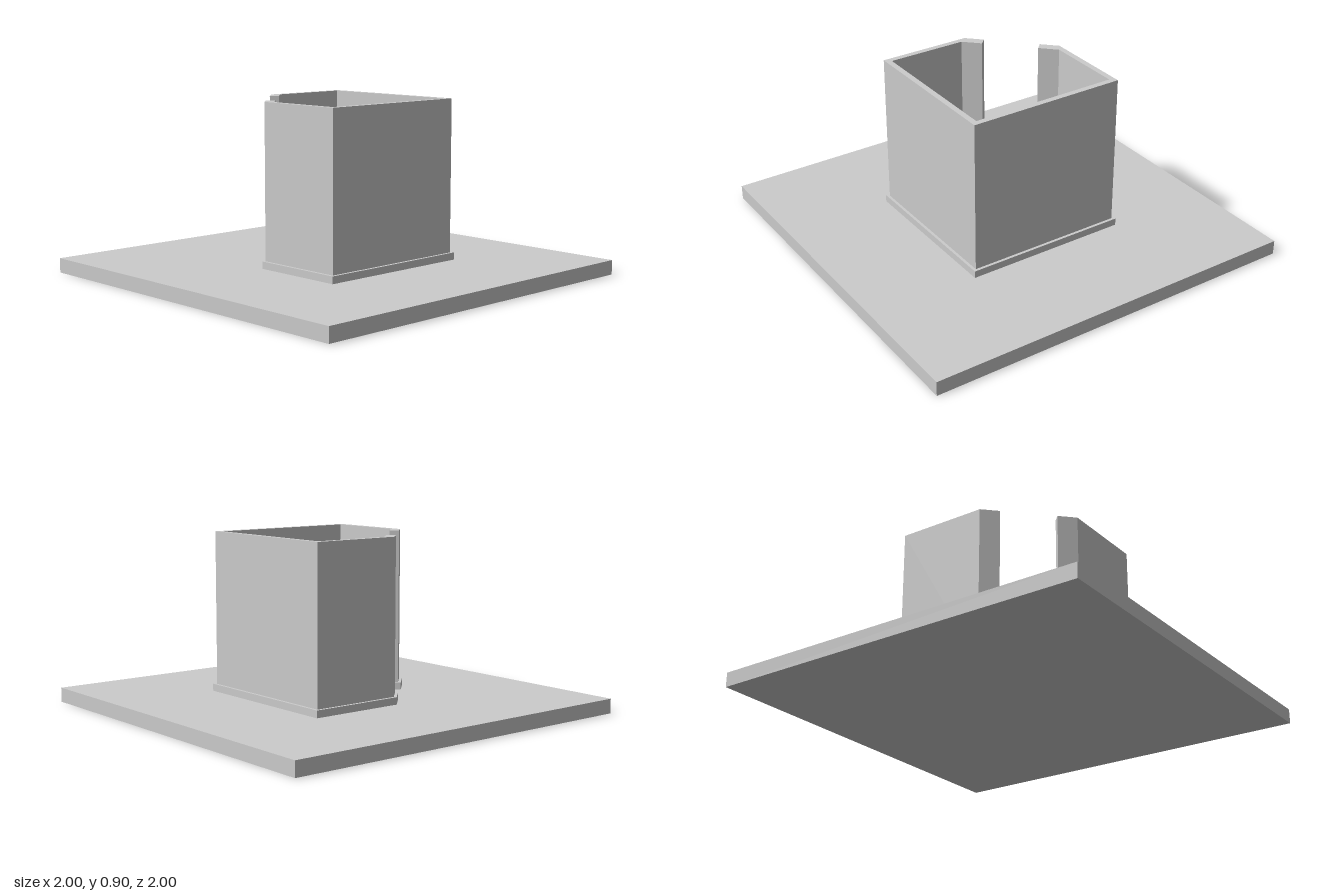
import * as THREE from 'three';

const material = new THREE.MeshStandardMaterial({ color: 0xcccccc, flatShading: true });

// Closed plan outline [x, z] of the open square post, shrunk on every side by inset
function planOutline(inset) {
  const out = 0.43 - inset;                    // outer face
  const inn = 0.37 + inset;                    // inner face
  const d = inset * Math.SQRT2;
  const lipOut = -0.50 + d;                    // x + z along the lip's outer face
  const lipIn = -0.39 - d;                     // x + z along the lip's inner face
  const lipEnd = -0.185 - d;                   // x - z at the lip's tip
  const half = [
    [out, out], [-out, out],
    [-out, lipOut + out],
    [(lipOut + lipEnd) / 2, (lipOut - lipEnd) / 2],
    [(lipIn + lipEnd) / 2, (lipIn - lipEnd) / 2],
    [-inn, lipIn + inn],
    [-inn, inn], [inn, inn],
  ];
  // The other half mirrors across the x = z diagonal
  const mirrored = half.slice(1, -1).reverse().map(([x, z]) => [z, x]);
  return [...half, ...mirrored];
}

// Upright prism of the plan outline between two heights
function postSection(name, inset, y0, y1) {
  const shape = new THREE.Shape(planOutline(inset).map(([x, z]) => new THREE.Vector2(x, -z)));
  const geometry = new THREE.ExtrudeGeometry(shape, { depth: y1 - y0, bevelEnabled: false });
  geometry.rotateX(-Math.PI / 2).translate(0, y0, 0);
  const mesh = new THREE.Mesh(geometry, material);
  mesh.name = name;
  return mesh;
}

export function createModel() {
  const model = new THREE.Group();
  model.name = 'postBase';

  // Square base plate
  const plate = new THREE.Mesh(new THREE.BoxGeometry(2, 0.075, 2), material);
  plate.name = 'basePlate';
  plate.position.y = 0.0375;
  model.add(plate);

  // Low collar around the foot, then the tall open wall with its two angled lips
  model.add(postSection('collar', 0, 0.075, 0.112));
  model.add(postSection('wall', 0.015, 0.075, 0.9));
  return model;
}
